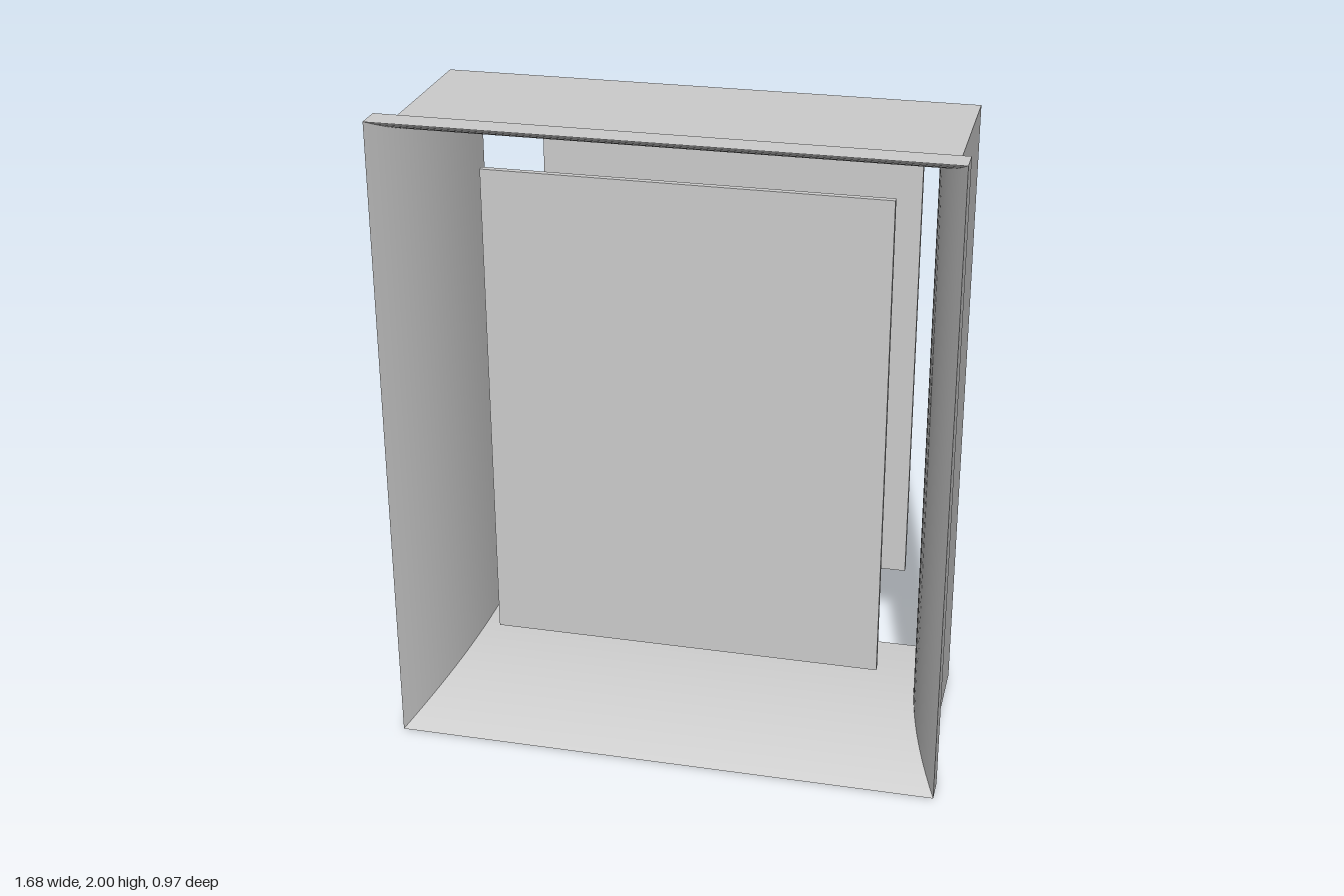
import * as THREE from 'three';
import { toCreasedNormals } from 'three/addons/utils/BufferGeometryUtils.js';

const HALF_W = 0.84, HALF_H = 1, FRONT = 0.485, BACK = -0.16;

// Cross-section of the moulding: [inset from the outer edge, z]
function mouldingProfile() {
  const points = [];
  const steps = 16, inset = 0.13;
  // hollow cove, flaring out to a thin front lip
  for (let i = 0; i <= steps; i++) {
    const t = 1 - i / steps;
    points.push([inset * (1 - Math.pow(t, 2.5)), BACK + (FRONT - BACK) * t]);
  }
  // back rim, outer wall and front flange
  points.push([0.034, BACK], [0.034, 0.405], [0, 0.405], [0, FRONT]);
  return points;
}

// Carries the profile round a rectangle with mitred corners
function mitredFrame(profile) {
  const signs = [[-1, -1], [1, -1], [1, 1], [-1, 1]];
  const corner = (c, [inset, z]) => [
    signs[c % 4][0] * (HALF_W - inset),
    signs[c % 4][1] * (HALF_H - inset),
    z,
  ];
  const positions = [];
  for (let side = 0; side < 4; side++) {
    for (let k = 0; k < profile.length - 1; k++) {
      const a = corner(side, profile[k]);
      const b = corner(side + 1, profile[k]);
      const c = corner(side + 1, profile[k + 1]);
      const d = corner(side, profile[k + 1]);
      positions.push(...a, ...b, ...c, ...a, ...c, ...d);
    }
  }
  const geometry = new THREE.BufferGeometry();
  geometry.setAttribute('position', new THREE.Float32BufferAttribute(positions, 3));
  return toCreasedNormals(geometry, 0.5);
}

export function createModel() {
  const group = new THREE.Group();
  group.name = 'shadowBoxFrame';
  const material = new THREE.MeshStandardMaterial({ color: 0xcccccc });

  const add = (name, geometry, y, z) => {
    const mesh = new THREE.Mesh(geometry, material);
    mesh.name = name;
    mesh.position.set(0, y, z);
    group.add(mesh);
  };

  // deep mitred frame
  add('frame', mitredFrame(mouldingProfile()), HALF_H, 0);

  // picture panel inside the frame and backing board behind it
  const panel = new THREE.BoxGeometry(1.224, 1.545, 0.02);
  add('picturePanel', panel, 1.003, 0.165);
  add('backingBoard', panel, 1.003, -0.475);

  return group;
}
